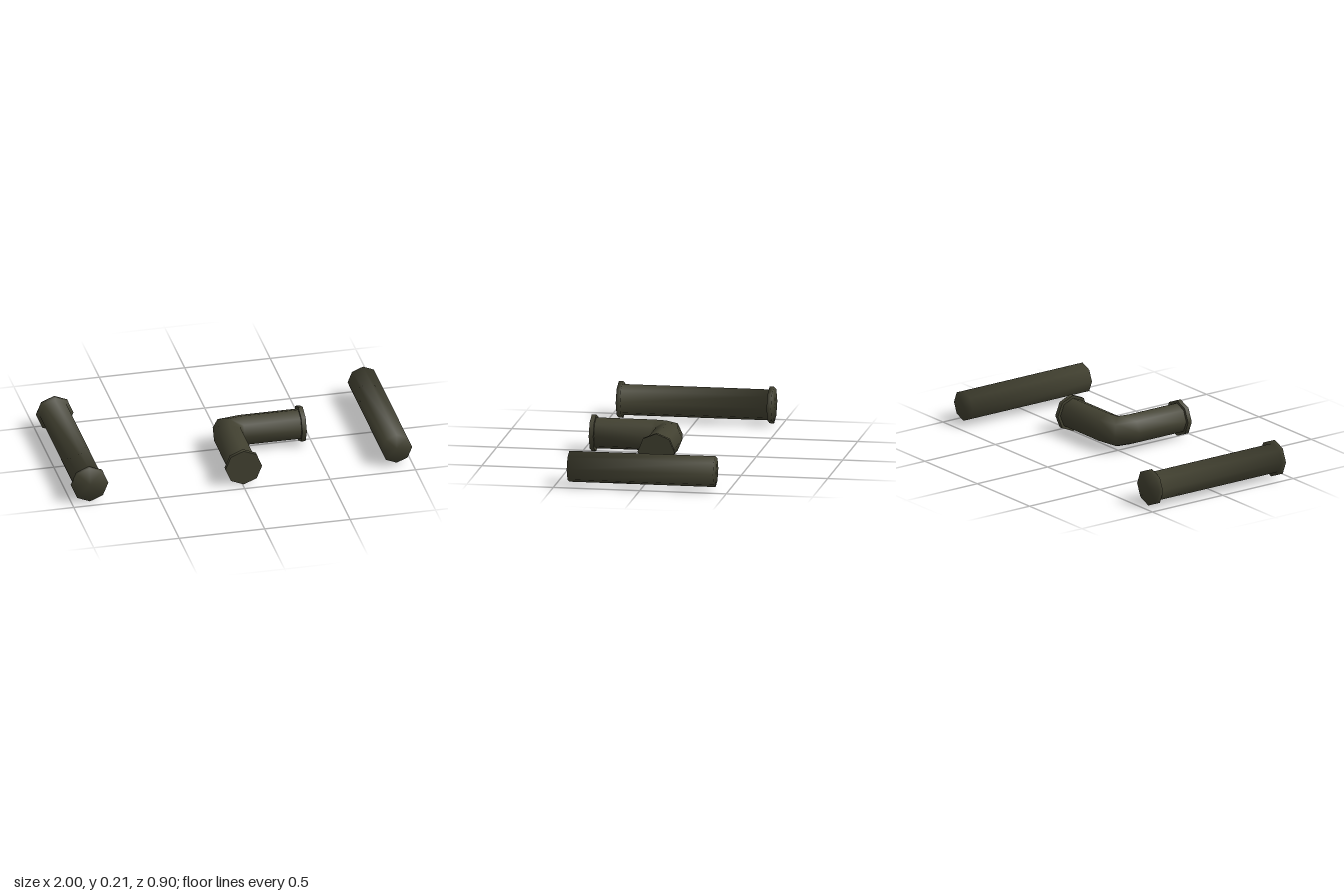
import * as THREE from 'three';

const SIDES = 8, R = 0.09, FLANGE_R = 0.107, Y = 0.107;
const END = 0.423, FLANGE_T = 0.026;

// Closed straight pipe along z, with normals blended over every edge of its profile [radius, z]
function straightPipe(profile) {
  const pts = profile.map(([r, z]) => new THREE.Vector2(r, z));
  const geo = new THREE.LatheGeometry(pts, SIDES);
  const normals = pts.map((p, j) => {
    const n = new THREE.Vector2();
    for (const [a, b] of [[pts[j - 1], p], [p, pts[j + 1]]]) {
      if (a && b) n.add(new THREE.Vector2(b.y - a.y, a.x - b.x).normalize());
    }
    return n.normalize();
  });
  for (let i = 0; i <= SIDES; i++) {
    const phi = (i / SIDES) * Math.PI * 2;
    normals.forEach((n, j) => geo.attributes.normal.setXYZ(
      i * pts.length + j, n.x * Math.sin(phi), n.y, n.x * Math.cos(phi)));
  }
  return geo.rotateX(Math.PI / 2);
}

// Open tube through rings given as centre (x, z) and horizontal radius vector (ux, uz)
function bentTube(rings) {
  const pos = [], index = [];
  rings.forEach(([x, z, ux, uz], i) => {
    for (let k = 0; k < SIDES; k++) {
      const t = (k / SIDES) * Math.PI * 2, c = Math.cos(t);
      pos.push(x + ux * c, R * Math.sin(t), z + uz * c);
      if (i === rings.length - 1) continue;
      const a = i * SIDES + k, b = i * SIDES + (k + 1) % SIDES;
      index.push(a, a + SIDES, b, b, a + SIDES, b + SIDES);
    }
  });
  const geo = new THREE.BufferGeometry();
  geo.setAttribute('position', new THREE.Float32BufferAttribute(pos, 3));
  geo.setIndex(index);
  geo.computeVertexNormals();
  return geo;
}

export function createModel() {
  const model = new THREE.Group();
  model.name = 'pipeSet';
  const metal = new THREE.MeshStandardMaterial({ color: 0x424131 });
  metal.name = 'dark olive metal';

  const add = (parent, name, geo, x, y, z) => {
    const mesh = new THREE.Mesh(geo, metal);
    mesh.name = name;
    mesh.position.set(x, y, z);
    parent.add(mesh);
    return mesh;
  };

  // Straight pipe with a flange at each end
  const L = END + FLANGE_T;
  add(model, 'flangedPipe', straightPipe([
    [0, -L], [FLANGE_R, -L], [FLANGE_R, -END], [R, -END],
    [R, END], [FLANGE_R, END], [FLANGE_R, L], [0, L],
  ]), -0.893, Y, 0);

  // Plain straight pipe
  add(model, 'plainPipe', straightPipe([[0, -END], [R, -END], [R, END], [0, END]]), 0.908, Y, 0);

  // Elbow: two arms meeting at a mitred corner that pivots on the inner edge
  const elbow = new THREE.Group();
  elbow.name = 'elbowPipe';
  elbow.position.y = Y;
  model.add(elbow);
  const cx = 0.007, inX = cx + R, inZ = R;
  add(elbow, 'elbowTube', bentTube([
    [cx, END, R, 0],
    [cx, inZ, R, 0],
    [inX - 0.076, inZ - 0.077, 0.076, 0.077],
    [inX, 0, 0, R],
    [0.43, 0, 0, R],
  ]), 0, 0, 0);

  // Elbow end flanges
  const flange = new THREE.CylinderGeometry(FLANGE_R, FLANGE_R, FLANGE_T, SIDES);
  add(elbow, 'frontFlange', flange, cx, 0, END + FLANGE_T / 2).rotation.x = Math.PI / 2;
  add(elbow, 'sideFlange', flange, 0.43 + FLANGE_T / 2, 0, 0).rotation.z = -Math.PI / 2;

  return model;
}
